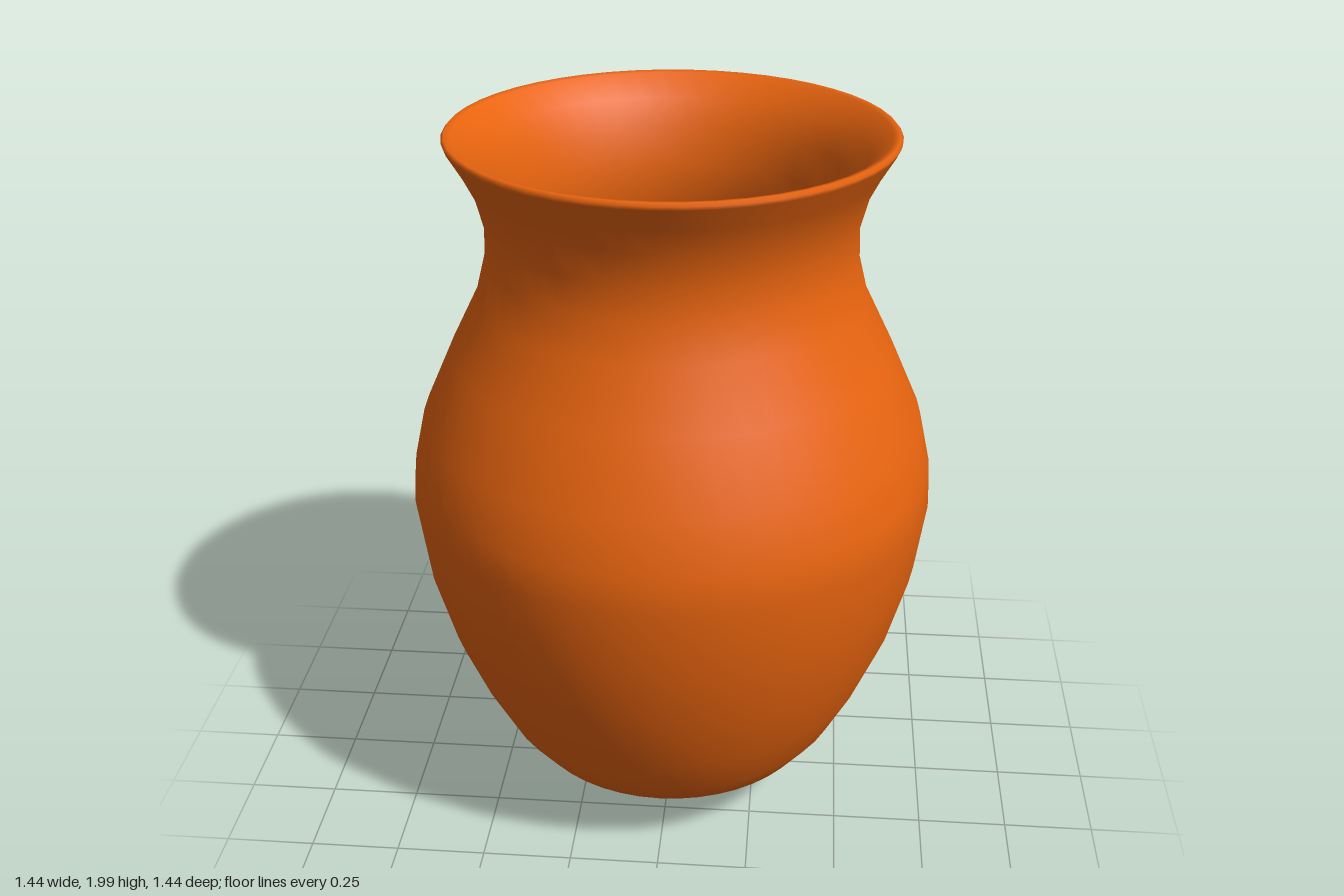
import * as THREE from 'three';

const WALL = 0.05;

// outer profile from the pointed foot to the flared lip: [radius, height]
const OUTER = [
  [0, 0.01], [0.23, 0.07], [0.31, 0.1], [0.43, 0.185], [0.5, 0.275], [0.57, 0.41],
  [0.64, 0.58], [0.695, 0.78], [0.722, 0.98], [0.715, 1.08], [0.683, 1.22],
  [0.6, 1.405], [0.523, 1.56], [0.495, 1.67], [0.492, 1.76], [0.515, 1.85],
  [0.55, 1.92], [0.587, 1.982],
].map(([r, y]) => new THREE.Vector2(r, y));

// inner wall: the outer profile moved inwards by the wall thickness
function offsetInwards(points, distance) {
  return points.map((p, i) => {
    if (i === 0) return new THREE.Vector2(0, p.y + distance);
    const before = points[i - 1];
    const after = points[Math.min(i + 1, points.length - 1)];
    const along = after.clone().sub(before).normalize();
    return new THREE.Vector2(p.x - along.y * distance, p.y + along.x * distance);
  });
}

export function createModel() {
  const group = new THREE.Group();
  group.name = 'vase';

  const inner = offsetInwards(OUTER.slice(0, -1), WALL).reverse();
  // narrow rounded lip joining the two walls
  const lip = [[0.59, 1.992], [0.583, 2], [0.565, 1.997]]
    .map(([r, y]) => new THREE.Vector2(r, y));

  const body = new THREE.Mesh(
    new THREE.LatheGeometry([...OUTER, ...lip, ...inner], 48),
    new THREE.MeshStandardMaterial({ color: 0xe8640f }),
  );
  body.name = 'vaseBody';
  group.add(body);
  return group;
}
